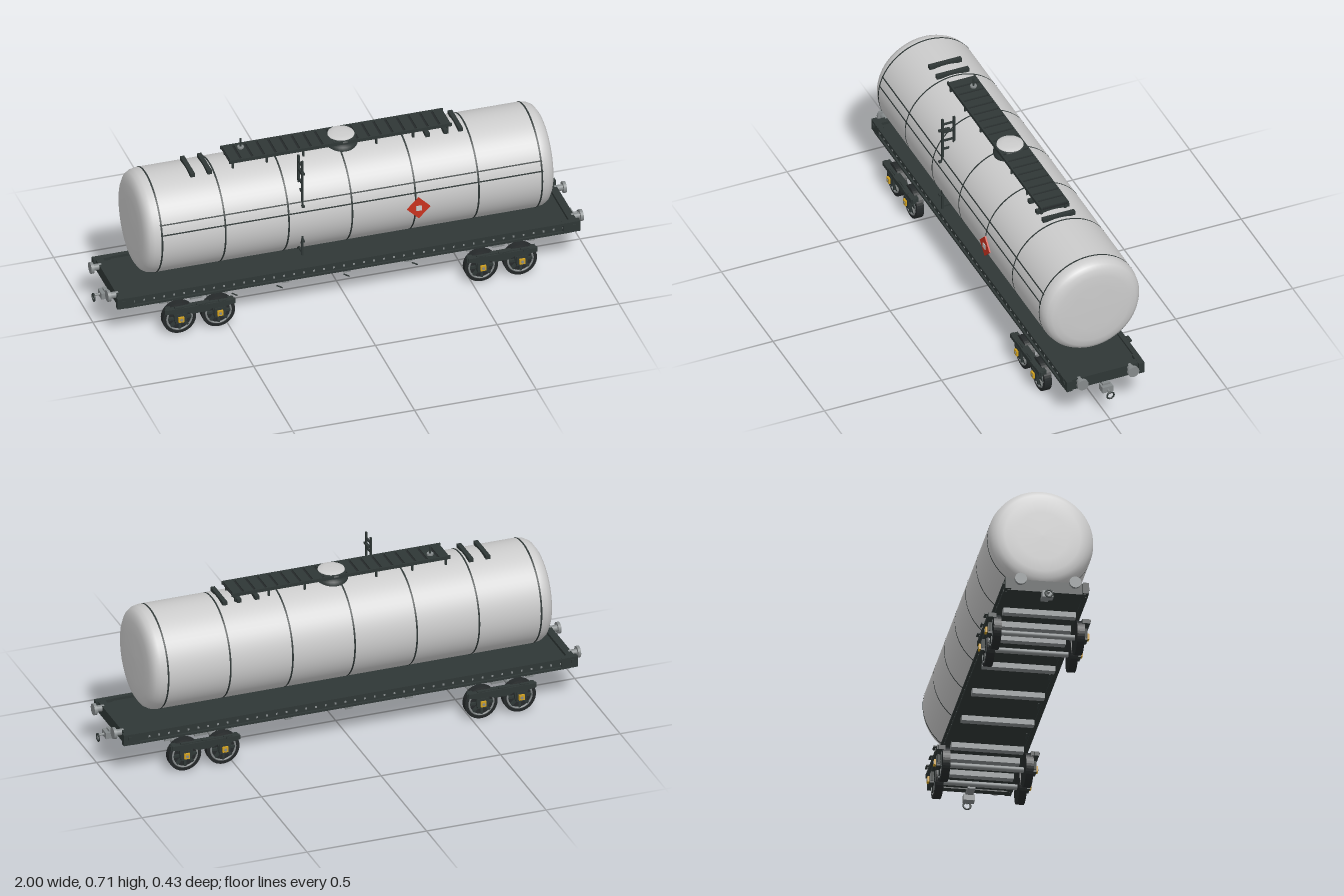
import * as THREE from 'three';

const mat = (color, extra = {}) => new THREE.MeshStandardMaterial({ color, ...extra });
const GREY = mat(0xcccccc);
const STEEL = mat(0x858a8b);
const DARK = mat(0x2f3736);
const BLACK = mat(0x25292a);
const RED = mat(0xc8321f);
const YELLOW = mat(0xd0a020);

function add(parent, name, geo, material, x = 0, y = 0, z = 0) {
  const m = new THREE.Mesh(geo, material);
  m.name = name;
  m.position.set(x, y, z);
  parent.add(m);
  return m;
}
const box = (p, name, m, w, h, d, x, y, z) => add(p, name, new THREE.BoxGeometry(w, h, d), m, x, y, z);
function rod(p, name, m, r, len, axis, x, y, z, seg = 16) {
  const g = new THREE.CylinderGeometry(r, r, len, seg);
  if (axis === 'x') g.rotateZ(-Math.PI / 2);
  if (axis === 'z') g.rotateX(Math.PI / 2);
  return add(p, name, g, m, x, y, z);
}
const lathe = (pts, seg) => new THREE.LatheGeometry(pts.map(([r, h]) => new THREE.Vector2(r, h)), seg);
function group(parent, name) {
  const g = new THREE.Group();
  g.name = name;
  parent.add(g);
  return g;
}

const TANK_R = 0.209, TANK_Y = 0.431;

function buildTank(root) {
  const tank = group(root, 'tank');
  // Shell with softly rounded ends
  const end = [[0.0001, 0.845], [0.1, 0.844], [0.15, 0.842], [0.178, 0.836], [0.195, 0.825], [0.205, 0.808], [TANK_R, 0.785]];
  const profile = [...end.map(([r, x]) => [r, -x]), ...end.slice().reverse()];
  add(tank, 'tankShell', lathe(profile, 64).rotateZ(-Math.PI / 2), GREY, 0, TANK_Y, 0);
  // Hoop bands
  for (let i = -3; i <= 3; i++) {
    const hoop = new THREE.CylinderGeometry(TANK_R + 0.0015, TANK_R + 0.0015, 0.007, 64, 1, true).rotateZ(Math.PI / 2);
    add(tank, 'hoopBand', hoop, DARK, i * 0.26, TANK_Y, 0);
  }
  // Long seams on the ladder side
  for (const y of [0.515, 0.475]) {
    const a = Math.asin((y - TANK_Y) / TANK_R);
    box(tank, 'longSeam', DARK, 1.57, 0.005, 0.003, 0, y, TANK_R * Math.cos(a)).rotation.x = -a;
  }
  // Diamond warning plate
  const plate = box(tank, 'warningPlate', RED, 0.067, 0.067, 0.006, 0.27, 0.412, 0.216);
  plate.rotation.z = Math.PI / 4;
  box(tank, 'warningPlateCentre', GREY, 0.022, 0.022, 0.004, 0.27, 0.412, 0.22);
}

function buildTop(root) {
  const top = group(root, 'roofEquipment');
  // Slatted walkway
  for (const s of [-1, 1]) box(top, 'walkwayRail', DARK, 0.914, 0.014, 0.006, 0, 0.666, s * 0.056);
  box(top, 'walkwayPlate', BLACK, 0.91, 0.004, 0.112, 0, 0.664, 0);
  for (let i = 0; i < 19; i++) box(top, 'walkwaySlat', DARK, 0.038, 0.005, 0.112, -0.432 + i * 0.048, 0.67, 0);
  for (const x of [-0.44, -0.3, -0.15, 0.15, 0.3, 0.44])
    for (const s of [-1, 1]) box(top, 'walkwayLeg', DARK, 0.008, 0.036, 0.008, x, 0.645, s * 0.05);
  // Cross supports
  for (const x of [-0.61, -0.54, 0.355, 0.43, 0.49])
    box(top, 'crossSupport', DARK, 0.018, 0.016, 0.138, x, 0.642, 0);
  // Filling hatch
  add(top, 'hatchBody', lathe([[0.066, 0.63], [0.066, 0.648], [0.055, 0.65], [0.06, 0.662], [0.06, 0.671], [0.053, 0.674]], 32),
    mat(0x2f3736, { side: THREE.DoubleSide }), 0.02, 0, 0);
  add(top, 'hatchLid', lathe([[0.054, 0.672], [0.052, 0.678], [0.03, 0.681], [0.0001, 0.682]], 32), GREY, 0.02, 0, 0);
  // Valve post
  rod(top, 'valvePost', DARK, 0.0045, 0.07, 'y', -0.385, 0.68, -0.022);
  rod(top, 'valveCollar', STEEL, 0.013, 0.008, 'y', -0.385, 0.676, -0.022);
}

function buildLadder(root) {
  const ladder = group(root, 'ladder');
  for (const z of [0.192, 0.143]) box(ladder, 'ladderRail', DARK, 0.008, 0.432, 0.009, -0.2, 0.486, z);
  for (let i = 0; i < 11; i++) box(ladder, 'ladderRung', DARK, 0.007, 0.007, 0.05, -0.2, 0.282 + i * 0.0395, 0.168);
  box(ladder, 'ladderBracket', DARK, 0.012, 0.007, 0.048, -0.2, 0.65, 0.185);
  for (const y of [0.34, 0.5]) box(ladder, 'ladderBracket', DARK, 0.012, 0.007, 0.016, -0.2, y, 0.2);
}

function buildFrame(root) {
  const frame = group(root, 'underframe');
  box(frame, 'deckFloor', DARK, 1.84, 0.03, 0.31, 0, 0.163, 0);
  for (const s of [-1, 1]) {
    // Channel side beams with a rivet row
    box(frame, 'sideBeamWeb', DARK, 1.83, 0.044, 0.01, 0, 0.167, s * 0.154);
    for (const y of [0.149, 0.186]) box(frame, 'sideBeamFlange', DARK, 1.83, 0.009, 0.02, 0, y, s * 0.157);
    for (let i = 0; i < 44; i++) box(frame, 'rivet', STEEL, 0.007, 0.007, 0.004, -0.88 + i * 0.041, 0.167, s * 0.16);
    // End beams, corner blocks, buffers and couplers
    box(frame, 'endBeam', DARK, 0.03, 0.047, 0.31, s * 0.925, 0.1665, 0);
    for (const t of [-1, 1]) {
      box(frame, 'cornerBlock', DARK, 0.07, 0.046, 0.024, s * 0.915, 0.168, t * 0.154);
      box(frame, 'cornerHook', DARK, 0.012, 0.012, 0.006, s * 0.925, 0.175, t * 0.168);
      rod(frame, 'bufferStem', STEEL, 0.013, 0.04, 'x', s * 0.95, 0.179, t * 0.108);
      rod(frame, 'bufferHead', STEEL, 0.0235, 0.012, 'x', s * 0.97, 0.179, t * 0.108, 28);
    }
    box(frame, 'couplerBlock', STEEL, 0.035, 0.026, 0.045, s * 0.953, 0.123, 0);
    box(frame, 'couplerNeck', STEEL, 0.08, 0.012, 0.03, s * 0.915, 0.138, 0);
    rod(frame, 'couplerBar', STEEL, 0.005, 0.03, 'x', s * 0.98, 0.123, 0);
    add(frame, 'couplerRing', new THREE.TorusGeometry(0.0145, 0.0035, 8, 24).rotateY(Math.PI / 2), DARK, s * 0.9955, 0.112, 0);
  }
  // Cross beams beneath the floor
  for (let i = -3; i <= 3; i++) box(frame, 'crossBeam', STEEL, 0.03, 0.022, 0.288, i * 0.252, 0.134, 0);
  // Small hanging levers
  for (const x of [-0.455, -0.27, 0.005, 0.285]) {
    const lever = rod(frame, 'lever', DARK, 0.003, 0.026, 'x', x, 0.094, 0.12, 8);
    lever.rotation.z = -0.55;
  }
}

function buildWheel(parent, x, s) {
  const wheel = group(parent, 'wheel');
  wheel.position.set(x, 0.068, s * 0.15);
  if (s < 0) wheel.rotation.y = Math.PI;
  // Tyre, dished web and hub
  const pts = [[0.0001, 0], [0.068, 0], [0.068, 0.03], [0.056, 0.032], [0.053, 0.022], [0.022, 0.022], [0.02, 0.036], [0.0001, 0.036]];
  add(wheel, 'wheelDisc', lathe(pts, 40).rotateX(Math.PI / 2), mat(0x25292a, { flatShading: true }));
  add(wheel, 'wheelRing', new THREE.TorusGeometry(0.051, 0.004, 6, 32), STEEL, 0, 0, 0.029);
  for (let i = 0; i < 8; i++) {
    const a = (i * Math.PI) / 4;
    box(wheel, 'spoke', DARK, 0.034, 0.01, 0.012, 0.036 * Math.cos(a), 0.036 * Math.sin(a), 0.026).rotation.z = a;
  }
}

function buildBogie(root, x) {
  const bogie = group(root, 'bogie');
  bogie.position.x = x;
  // Side frame outline with a raised middle and axle box jaws
  const half = [[0.145, 0.122], [0.145, 0.104], [0.108, 0.098], [0.104, 0.062], [0.056, 0.062], [0.052, 0.098], [0.03, 0.088]];
  const outline = [...half, ...half.slice().reverse().map(([a, b]) => [-a, b]), [-0.04, 0.128], [0.04, 0.128]];
  const shape = new THREE.Shape(outline.map(([a, b]) => new THREE.Vector2(a, b)));
  const side = new THREE.ExtrudeGeometry(shape, { depth: 0.012, bevelEnabled: false });
  for (const s of [-1, 1]) {
    add(bogie, 'sideFrame', side, DARK, 0, 0, s * 0.19 - 0.006);
    box(bogie, 'sideFrameTop', DARK, 0.28, 0.018, 0.032, 0, 0.115, s * 0.186);
    for (const dx of [-0.08, 0.08]) {
      buildWheel(bogie, dx, s);
      box(bogie, 'axleBox', DARK, 0.042, 0.042, 0.016, dx, 0.074, s * 0.19);
      box(bogie, 'axleCap', YELLOW, 0.023, 0.023, 0.01, dx, 0.073, s * 0.201);
      rod(bogie, 'axleCapPin', STEEL, 0.006, 0.004, 'z', dx, 0.073, s * 0.206);
    }
    // Small fittings above the frame
    for (const dx of [-0.09, 0, 0.09]) {
      box(bogie, 'frameClip', DARK, 0.036, 0.005, 0.012, dx, 0.133, s * 0.204);
      box(bogie, 'frameClipFoot', DARK, 0.008, 0.016, 0.005, dx, 0.126, s * 0.2);
    }
  }
  for (const dx of [-0.08, 0.08]) rod(bogie, 'axle', STEEL, 0.011, 0.3, 'z', dx, 0.068, 0);
  // Bolster carrying the frame
  box(bogie, 'bolster', STEEL, 0.05, 0.024, 0.29, 0, 0.133, 0);
}

export function createModel() {
  const model = new THREE.Group();
  model.name = 'tankWagon';
  const body = group(model, 'wagonBody');
  body.position.z = -0.004;
  buildTank(body);
  buildTop(body);
  buildLadder(body);
  buildFrame(body);
  for (const x of [-0.62, 0.62]) buildBogie(body, x);
  return model;
}
